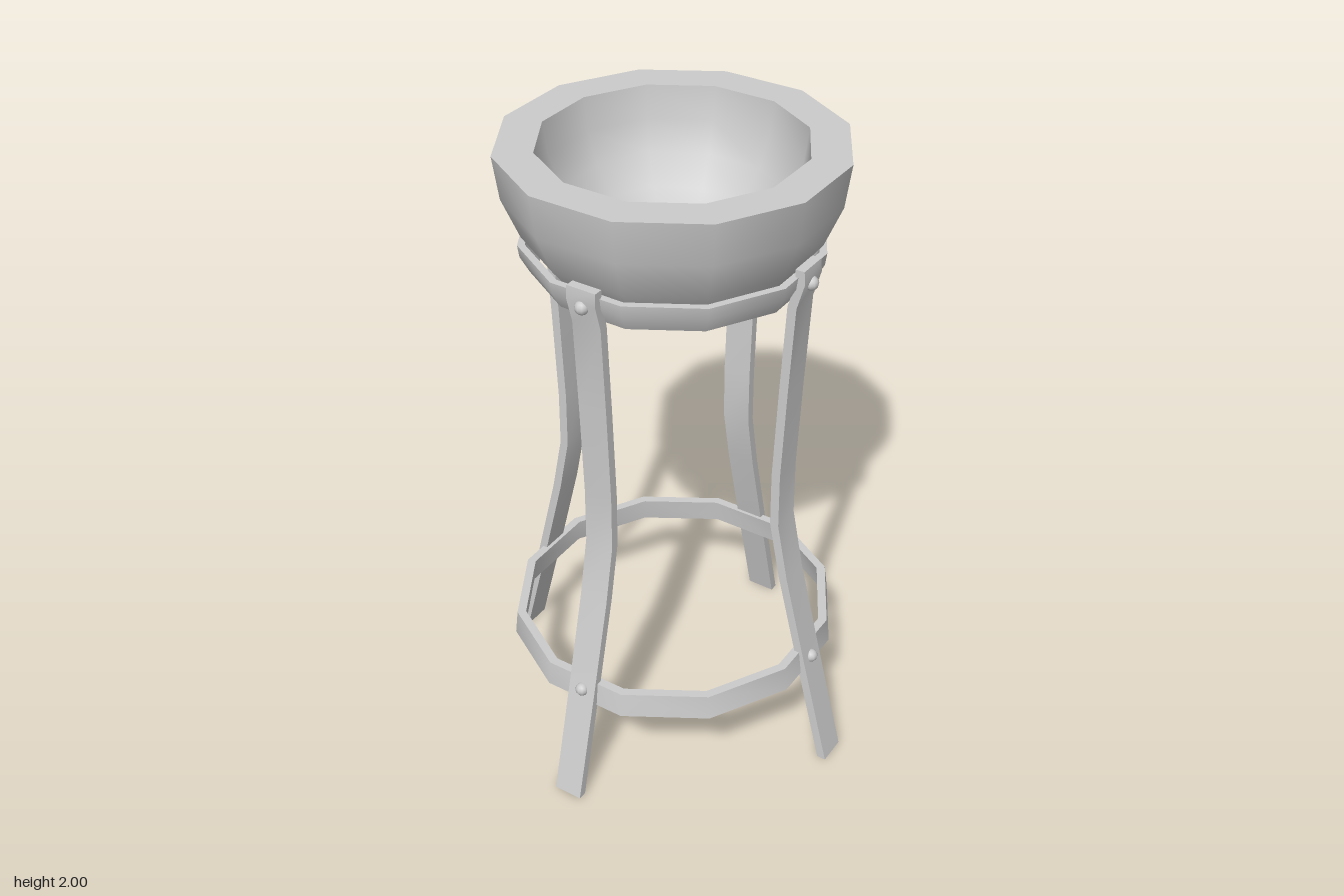
import * as THREE from 'three';
import { toCreasedNormals } from 'three/addons/utils/BufferGeometryUtils.js';

const SIDES = 12;
const LEG_WIDTH = 0.093;
const LEG_THICKNESS = 0.028;

export function createModel() {
  const model = new THREE.Group();
  const material = new THREE.MeshStandardMaterial({ color: 0xcccccc });

  const add = (parent, name, geometry) => {
    const mesh = new THREE.Mesh(geometry, material);
    mesh.name = name;
    parent.add(mesh);
    return mesh;
  };

  // Twelve-sided turned part, smooth around but sharp at its rims
  const turned = (profile) => toCreasedNormals(
    new THREE.LatheGeometry(profile.map(([r, y]) => new THREE.Vector2(r, y)), SIDES), 0.7);

  // Thick hemispherical bowl: outside going up, then inside going down
  const arc = (radius) => Array.from({ length: 7 }, (_, i) => {
    const a = (i * Math.PI) / 12;
    return [i === 0 ? 0 : radius * Math.sin(a), 2 - radius * Math.cos(a)];
  });
  add(model, 'bowl', turned([...arc(0.497), ...arc(0.383).reverse()]));

  // Band that cradles the bowl
  add(model, 'bowlBand', turned([
    [0.39, 1.64], [0.41, 1.64], [0.437, 1.69], [0.442, 1.727],
    [0.42, 1.727], [0.415, 1.69], [0.39, 1.64],
  ]));

  // Brace ring between the legs, very slightly tilted
  const brace = add(model, 'braceRing', turned([
    [0.497, -0.04], [0.525, -0.04], [0.515, 0.04], [0.487, 0.04], [0.497, -0.04],
  ]));
  brace.position.y = 0.363;
  brace.rotation.z = 0.014;

  // Curved flat-bar leg: outer edge as [radius, height]
  const outer = [
    [0.614, 0], [0.518, 0.37], [0.44, 0.68], [0.402, 0.87], [0.4, 1.05],
    [0.412, 1.35], [0.426, 1.63], [0.448, 1.71], [0.445, 1.75],
  ];
  const inner = outer.map(([r, y]) => [r - LEG_THICKNESS, y]).reverse();
  const legShape = new THREE.Shape([...outer, ...inner].map(([r, y]) => new THREE.Vector2(r, y)));
  const legGeometry = toCreasedNormals(
    new THREE.ExtrudeGeometry(legShape, { depth: LEG_WIDTH, bevelEnabled: false })
      .translate(0, 0, -LEG_WIDTH / 2), 0.7);
  const rivetGeometry = new THREE.SphereGeometry(0.021, 10, 8);

  // Four legs, each centred on a facet of the rings
  for (let i = 0; i < 4; i++) {
    const leg = new THREE.Group();
    leg.name = `leg${i + 1}`;
    leg.rotation.y = -Math.PI / 12 - (i * Math.PI) / 2;
    add(leg, 'legBar', legGeometry);
    add(leg, 'upperRivet', rivetGeometry).position.set(0.443, 1.695, 0);
    add(leg, 'lowerRivet', rivetGeometry).position.set(0.516, 0.373, 0);
    model.add(leg);
  }
  return model;
}
